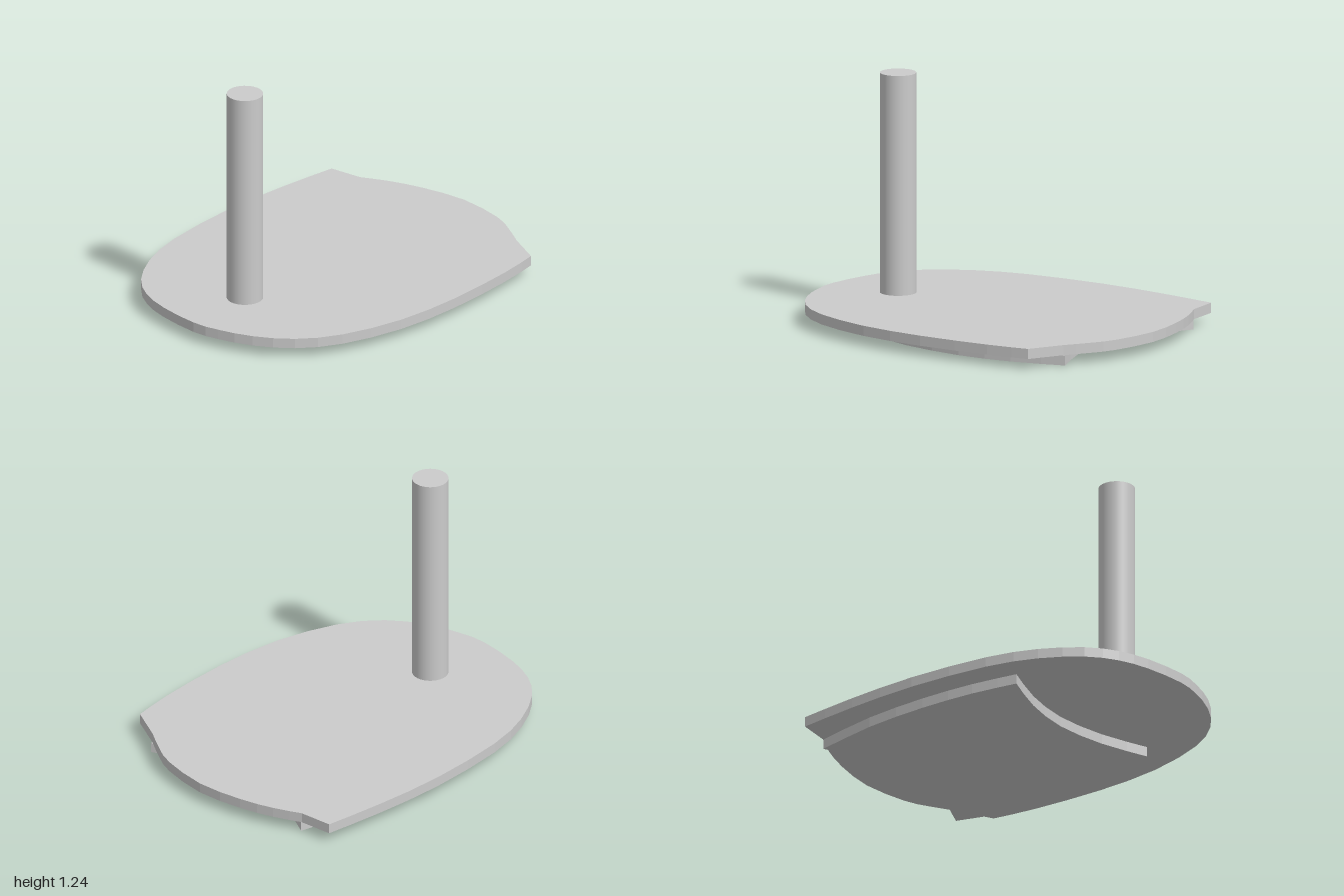
import * as THREE from 'three';

const material = new THREE.MeshStandardMaterial({ color: 0xcccccc });

// Flat plate whose outline is a chain of splines meeting at sharp corners; points are [x, z]
function plate(name, edges, bottom, top) {
  const outline = edges.flatMap((edge) => {
    const curve = new THREE.SplineCurve(edge.map(([x, z]) => new THREE.Vector2(x, z)));
    return curve.getPoints((edge.length - 1) * 2).slice(0, -1);
  });
  const geometry = new THREE.ExtrudeGeometry(new THREE.Shape(outline), {
    depth: top - bottom,
    bevelEnabled: false,
  });
  geometry.rotateX(Math.PI / 2).translate(0, top, 0);
  const mesh = new THREE.Mesh(geometry, material);
  mesh.name = name;
  return mesh;
}

export function createModel() {
  const model = new THREE.Group();
  model.name = 'plateWithPost';

  // Main plate: rounded body, two clipped corners and a bowed end
  const backCorner = [0.825, -0.725], backNotch = [0.845, -0.55];
  const frontNotch = [0.82, 0.54], frontCorner = [0.73, 0.72];
  model.add(plate('mainPlate', [
    [frontCorner, [0.5, 0.755], [0.1, 0.777], [-0.27, 0.75], [-0.6, 0.65], [-0.8, 0.51],
      [-0.92, 0.33], [-0.98, 0.15], [-1, 0], [-0.97, -0.23], [-0.91, -0.4], [-0.8, -0.54],
      [-0.6, -0.665], [-0.33, -0.745], [0.11, -0.78], [0.5, -0.762], backCorner],
    [backCorner, backNotch],
    [backNotch, [0.91, -0.41], [0.965, -0.23], [1, 0.02], [0.96, 0.28], [0.9, 0.41], frontNotch],
    [frontNotch, frontCorner],
  ], 0.052, 0.104));

  // Lower plate: bulging sides and hollowed ends
  const a = [0.845, -0.546], b = [-0.4, -0.58], c = [-0.4, 0.51], d = [0.83, 0.54];
  model.add(plate('lowerPlate', [
    [a, [0.5, -0.615], [0.15, -0.635], [-0.15, -0.62], b],
    [b, [-0.31, -0.32], [-0.27, -0.04], [-0.31, 0.25], c],
    [c, [-0.1, 0.61], [0.25, 0.65], [0.55, 0.62], d],
    [d, [0.72, 0.27], [0.67, 0], [0.72, -0.28], a],
  ], 0, 0.052));

  // Upright post near the rounded end
  const post = new THREE.Mesh(new THREE.CylinderGeometry(0.092, 0.092, 1.131, 32), material);
  post.name = 'post';
  post.position.set(-0.603, 0.104 + 1.131 / 2, -0.012);
  model.add(post);

  return model;
}
